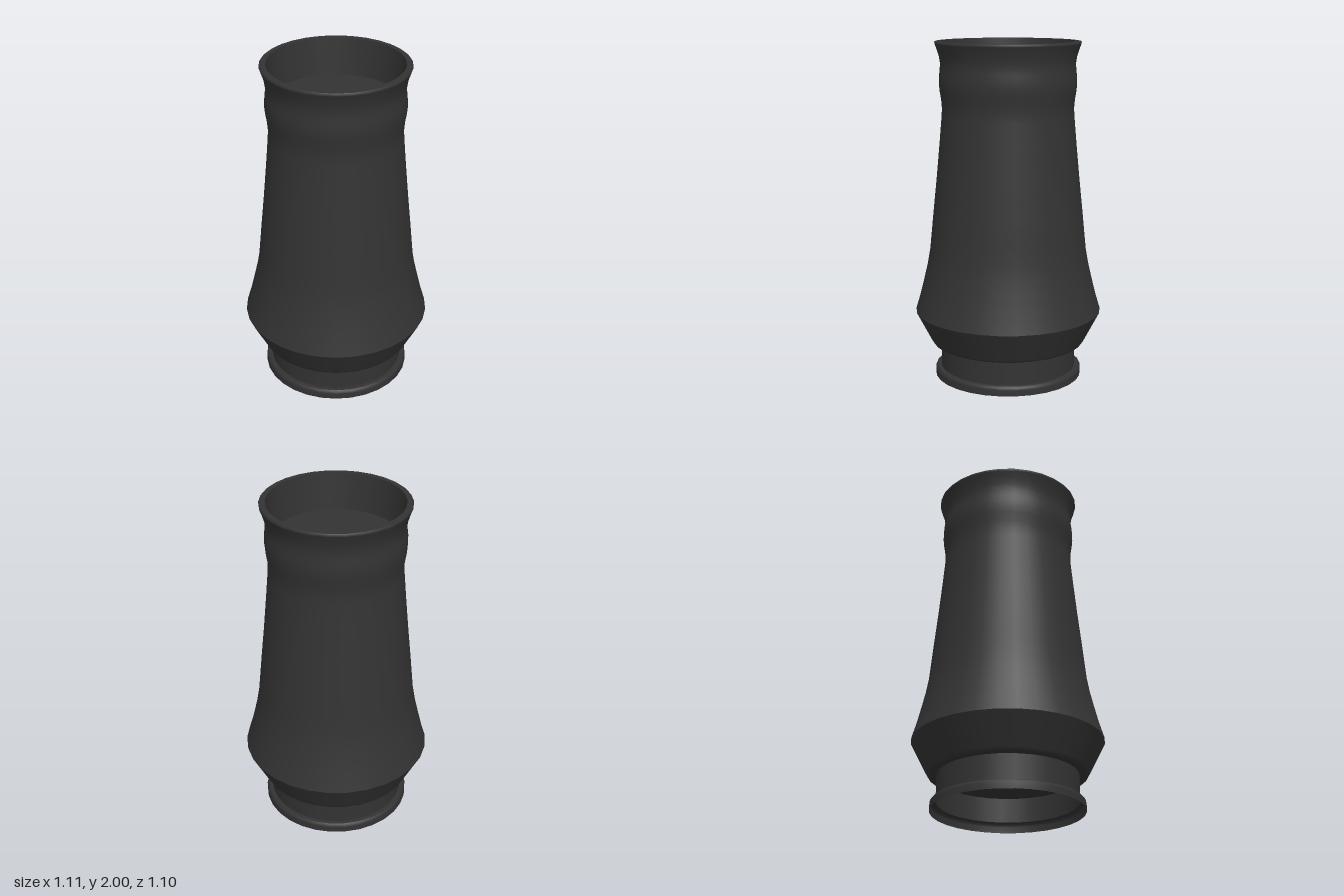
import * as THREE from 'three';

const SIDES = 30;

export function createModel() {
  const model = new THREE.Group();
  const dark = new THREE.MeshStandardMaterial({ color: 0x333333 });
  const darkThin = dark.clone();
  darkThin.side = THREE.DoubleSide;

  // Adds a turned section; profile is [radius, height] pairs
  const turn = (name, profile, material = dark) => {
    const points = profile.map(([r, y]) => new THREE.Vector2(r, y));
    const mesh = new THREE.Mesh(new THREE.LatheGeometry(points, SIDES, Math.PI / 2), material);
    mesh.name = name;
    model.add(mesh);
  };

  // Adds a flat disc facing up or down
  const disc = (name, radius, y, facing) => {
    const mesh = new THREE.Mesh(new THREE.CircleGeometry(radius, SIDES), dark);
    mesh.rotation.x = -facing * Math.PI / 2;
    mesh.position.y = y;
    mesh.name = name;
    model.add(mesh);
  };

  // Open foot: thin flange with a rounded shoulder, and a short collar
  turn('footFlange', [[0.44, 0], [0.44, 0.035], [0.437, 0.047], [0.428, 0.055]], darkThin);
  turn('footFlangeTop', [[0.428, 0.055], [0.405, 0.055]], darkThin);
  turn('footCollar', [[0.405, 0.055], [0.405, 0.205]], darkThin);
  disc('footCeiling', 0.405, 0.2, -1);

  // Underside and flared skirt below the widest edge
  turn('bodyUnderside', [[0.405, 0.205], [0.445, 0.205]]);
  turn('bodySkirt', [[0.445, 0.205], [0.455, 0.209], [0.463, 0.222], [0.555, 0.4]]);

  // Tapering body with a swelling ring, neck and flared mouth
  turn('body', [
    [0.555, 0.4], [0.528, 0.49], [0.503, 0.59], [0.482, 0.68], [0.466, 0.77], [0.455, 0.88],
    [0.443, 1.0], [0.422, 1.2], [0.403, 1.4], [0.389, 1.56], [0.386, 1.61], [0.39, 1.66],
    [0.398, 1.71], [0.402, 1.75], [0.402, 1.79], [0.397, 1.83], [0.394, 1.87],
    [0.4, 1.91], [0.412, 1.95], [0.425, 1.985],
  ]);

  // Rounded rim and the shallow recess inside the mouth
  turn('rimEdge', [[0.425, 1.985], [0.426, 1.994], [0.42, 2]]);
  turn('rimTop', [[0.42, 2], [0.39, 2]]);
  turn('mouthWall', [[0.39, 2], [0.365, 1.78]]);
  disc('mouthFloor', 0.365, 1.78, 1);

  return model;
}
